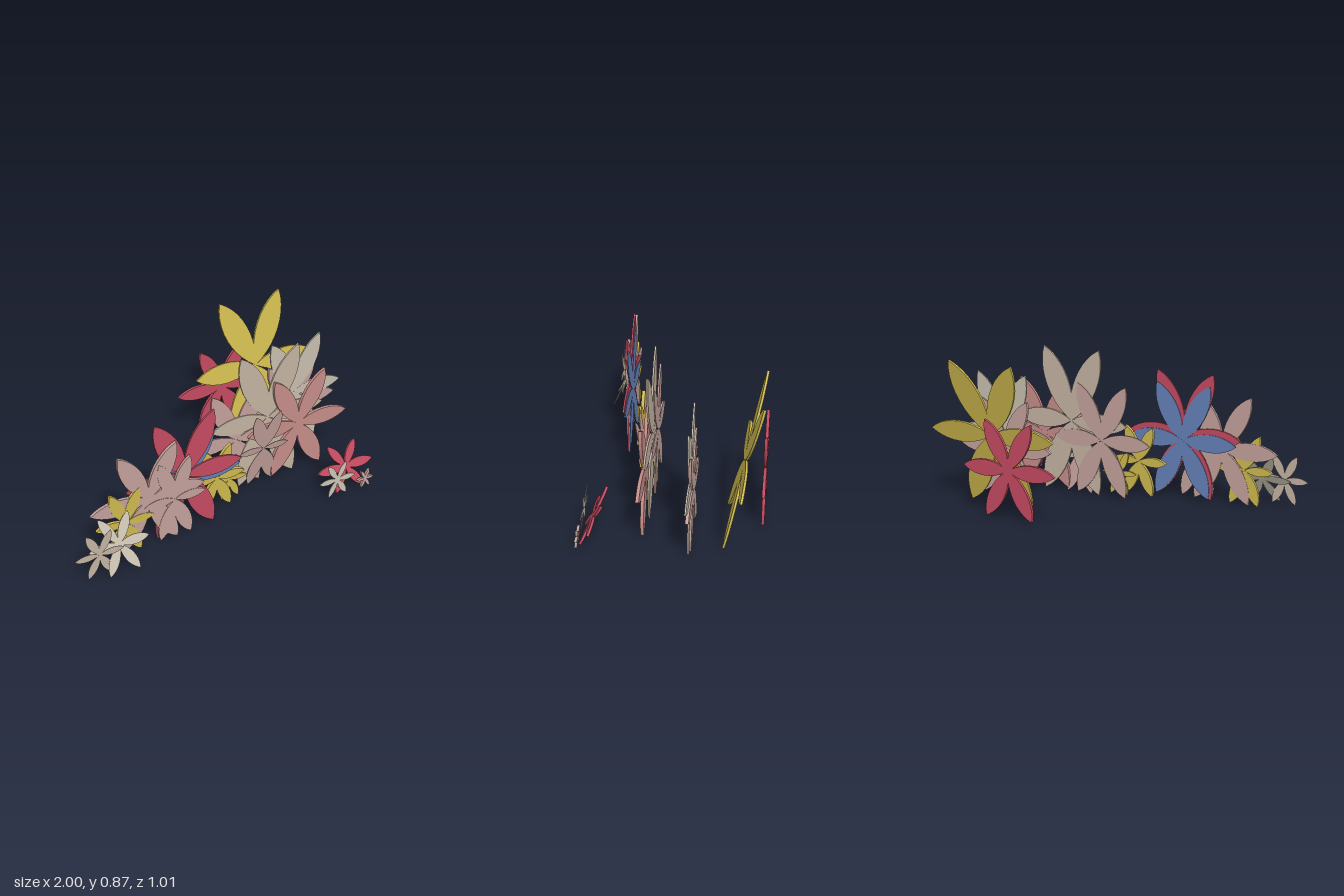
import * as THREE from 'three';

const COLORS = {
  rose: 0xc58c88, pink: 0xc2a09b, beige: 0xc4b3a2, grey: 0xc6beae,
  crimson: 0xc24a60, blue: 0x6480b8, olive: 0xcdb84f,
};

// name, colour, centre x, y, z, half width, half height, thickness, tilt
const FLOWERS = [
  ['backOliveFlower', 'olive', 0.565, 0.44, -0.393, 0.405, 0.435, 0.013, -0.22],
  ['backCrimsonFlower', 'crimson', 0.385, 0.285, -0.495, 0.295, 0.275, 0.017, 0],
  ['leftGreyFlower', 'grey', 0.67, 0.372, -0.12, 0.325, 0.363, 0.009, 0],
  ['leftPinkFlower', 'pink', 0.65, 0.295, -0.125, 0.31, 0.285, 0.018, 0],
  ['tallBeigeFlower', 'beige', 0.345, 0.438, 0.122, 0.365, 0.433, 0.01, 0],
  ['middlePinkFlower', 'pink', 0.144, 0.342, 0.118, 0.314, 0.33, 0.01, 0],
  ['roseFlower', 'rose', 0.54, 0.343, 0.137, 0.33, 0.323, 0.018, 0],
  ['leaningFlower', 'pink', 0.30, 0.262, 0.17, 0.16, 0.262, 0.003, 0.155],
  ['middleOliveFlower', 'olive', -0.045, 0.218, 0.232, 0.175, 0.207, 0.02, 0],
  ['smallYellowFlower', 'olive', 0.065, 0.14, 0.19, 0.11, 0.131, 0.008, 0],
  ['blueFlower', 'blue', -0.28, 0.35, 0.319, 0.335, 0.335, 0.006, 0],
  ['crimsonFlower', 'crimson', -0.29, 0.383, 0.325, 0.35, 0.372, 0.01, 0],
  ['rightPinkFlower', 'pink', -0.52, 0.325, 0.347, 0.335, 0.315, 0.018, 0],
  ['narrowPinkFlower', 'pink', -0.365, 0.27, 0.35, 0.185, 0.255, 0.016, 0],
  ['rightOliveFlower', 'olive', -0.66, 0.217, 0.349, 0.17, 0.207, 0.018, 0],
  ['rightGreyFlower', 'grey', -0.735, 0.157, 0.43, 0.175, 0.16, 0.003, -0.455],
  ['farRightFlower', 'beige', -0.86, 0.157, 0.46, 0.14, 0.143, 0.002, 0],
  ['frontGreyFlower', 'grey', 0.62, 0.117, 0.461, 0.12, 0.104, 0.003, -0.1],
  ['tinyPinkFlower', 'pink', 0.81, 0.065, 0.466, 0.055, 0.055, 0.015, -0.1],
  ['frontCrimsonFlower', 'crimson', 0.715, 0.137, 0.393, 0.185, 0.14, 0.014, -0.46],
];

// Pointed leaf outline running from the flower centre to a tip
function petalShape(tipX, tipY) {
  const w = 0.21;
  const at = (u, v) => [tipX * u - tipY * v, tipY * u + tipX * v];
  const shape = new THREE.Shape();
  shape.moveTo(0, 0);
  shape.bezierCurveTo(...at(0.3, -w), ...at(0.75, -w), tipX, tipY);
  shape.bezierCurveTo(...at(0.75, w), ...at(0.3, w), 0, 0);
  return shape;
}

// Six flat petals: two level, four diagonal
function flowerGeometry(rx, ry, depth) {
  const petals = [petalShape(rx, 0), petalShape(-rx, 0)];
  for (const sx of [1, -1]) {
    for (const sy of [1, -1]) petals.push(petalShape(sx * rx / 2, sy * ry));
  }
  const geometry = new THREE.ExtrudeGeometry(petals, { depth, bevelEnabled: false, curveSegments: 10 });
  return geometry.translate(0, 0, -depth / 2);
}

export function createModel() {
  const model = new THREE.Group();
  model.name = 'flowerCluster';
  const materials = {};
  for (const [key, color] of Object.entries(COLORS)) {
    materials[key] = new THREE.MeshStandardMaterial({ color });
  }
  for (const [name, color, x, y, z, rx, ry, depth, tilt] of FLOWERS) {
    const flower = new THREE.Mesh(flowerGeometry(rx, ry, depth), materials[color]);
    flower.name = name;
    flower.position.set(x, y, z);
    flower.rotation.x = tilt;
    model.add(flower);
  }
  return model;
}
